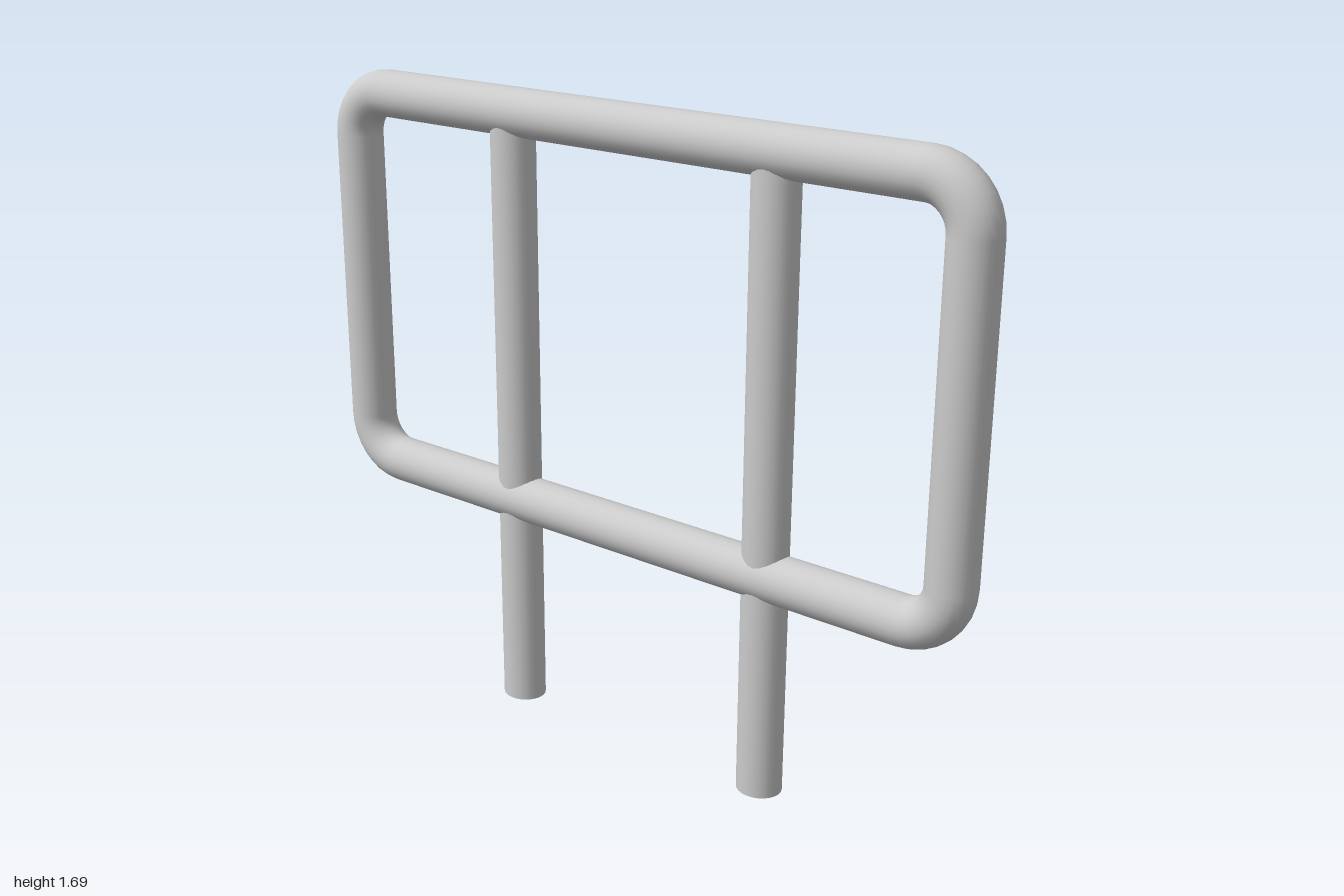
import * as THREE from 'three';

export function createModel() {
  const model = new THREE.Group();
  const material = new THREE.MeshStandardMaterial({ color: 0xcccccc, side: THREE.DoubleSide });
  const r = 0.062, bend = 0.118;           // pipe radius, corner radius
  const halfW = 1 - r, low = 0.59, high = 1.624;
  const midY = (low + high) / 2, halfH = (high - low) / 2;

  const add = (parent, name, geometry, x, y, z) => {
    const mesh = new THREE.Mesh(geometry, material);
    mesh.name = name;
    mesh.position.set(x, y, z);
    parent.add(mesh);
    return mesh;
  };

  // Rounded pipe loop, drawn in the xy plane and turned to run along z
  const frame = new THREE.Group();
  frame.name = 'pipeFrame';
  frame.position.y = midY;
  frame.rotation.y = -Math.PI / 2;
  model.add(frame);

  const railLength = 2 * (halfW - bend), sideLength = 2 * (halfH - bend);
  for (const s of [1, -1]) {
    const rail = add(frame, s > 0 ? 'topRail' : 'bottomRail',
      new THREE.CylinderGeometry(r, r, railLength, 24, 1, true), 0, s * halfH, 0);
    rail.rotation.z = Math.PI / 2;
    add(frame, s > 0 ? 'frontUpright' : 'backUpright',
      new THREE.CylinderGeometry(r, r, sideLength, 24, 1, true), s * halfW, 0, 0);
  }

  // Quarter bends joining rails and uprights
  [[1, 1], [-1, 1], [-1, -1], [1, -1]].forEach(([sx, sy], i) => {
    const corner = add(frame, 'cornerBend', new THREE.TorusGeometry(bend, r, 24, 8, Math.PI / 2),
      sx * (halfW - bend), sy * (halfH - bend), 0);
    corner.rotation.z = i * Math.PI / 2;
  });

  // Two posts from the ground up into the top rail
  for (const z of [0.43, -0.376]) {
    const post = add(model, 'post', new THREE.CylinderGeometry(0.06, 0.06, high, 24), 0.005, high / 2, z);
    post.scale.x = 0.92;
  }
  return model;
}
